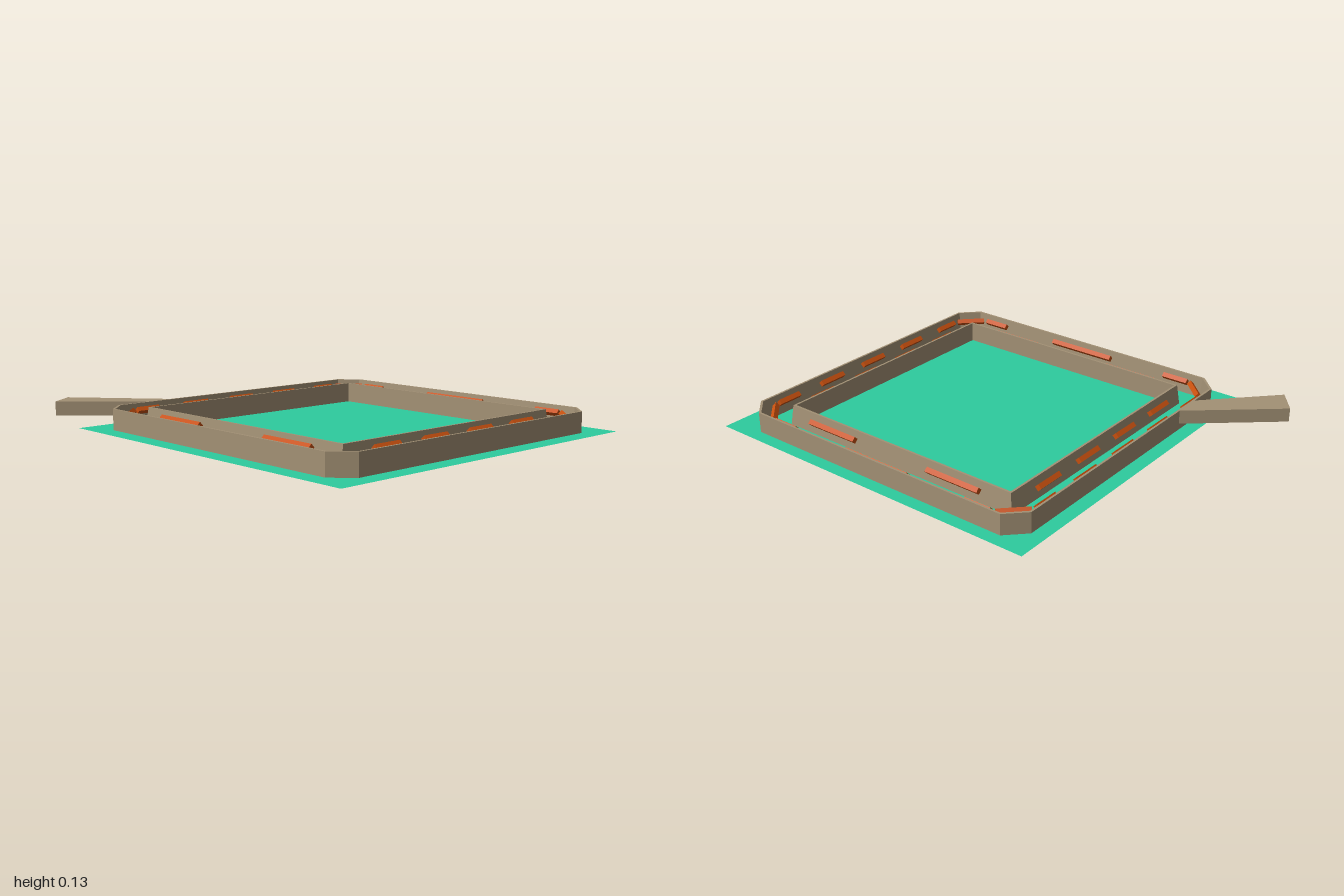
import * as THREE from 'three';

const stone = new THREE.MeshStandardMaterial({ color: 0xa39175, flatShading: true });
stone.name = 'tan';
const green = new THREE.MeshStandardMaterial({ color: 0x2ecc9e, side: THREE.DoubleSide });
green.name = 'green';
const orange = new THREE.MeshStandardMaterial({ color: 0xc8500f, flatShading: true });
orange.name = 'orange';

// Square loop of half width h with corners cut by c, as eight [x, z] points
function loop(h, c) {
  const k = h - c;
  return [[h, -k], [h, k], [k, h], [-k, h], [-h, k], [-h, -k], [-k, -h], [k, -h]];
}

// Closed cross-section of [half width, corner cut, y] swept round the square
function ringGeometry(profile) {
  const rows = profile.map(([h, c, y]) => loop(h, c).map(([x, z]) => new THREE.Vector3(x, y, z)));
  const pos = [];
  const tri = (a, b, c) => {
    if (new THREE.Triangle(a, b, c).getArea() < 1e-8) return;
    for (const p of [a, b, c]) pos.push(p.x, p.y, p.z);
  };
  rows.forEach((row, i) => {
    const up = rows[(i + 1) % rows.length];
    for (let j = 0; j < 8; j++) {
      const n = (j + 1) % 8;
      tri(row[j], up[j], up[n]);
      tri(row[j], up[n], row[n]);
    }
  });
  const g = new THREE.BufferGeometry();
  g.setAttribute('position', new THREE.Float32BufferAttribute(pos, 3));
  g.computeVertexNormals();
  return g;
}

export function createModel() {
  const model = new THREE.Group();
  const add = (parent, name, geo, mat, x = 0, y = 0, z = 0) => {
    const m = new THREE.Mesh(geo, mat);
    m.name = name;
    m.position.set(x, y, z);
    parent.add(m);
    return m;
  };

  // Thin sheet the trough is sunk into
  const sheet = new THREE.PlaneGeometry(1.69, 1.685).rotateX(-Math.PI / 2);
  add(model, 'groundSheet', sheet, green, 0.155, 0.035, -0.002);

  const track = new THREE.Group();
  track.name = 'track';
  track.position.set(0.147, 0, -0.013);
  model.add(track);

  // Trough: outer wall with cut corners, floor and square inner wall
  add(track, 'trough', ringGeometry([
    [0.735, 0.065, 0], [0.77, 0.085, 0.033], [0.77, 0.085, 0.13], [0.76, 0.08, 0.13],
    [0.748, 0.073, 0.02], [0.636, 0, 0.02], [0.623, 0, 0.13], [0.613, 0, 0.13],
    [0.613, 0, 0.033], [0.645, 0, 0],
  ]), stone);

  // Ridged bars along both walls of the trough
  const bar = (x, z, length, angle) => {
    const g = new THREE.CylinderGeometry(0.016, 0.016, length, 4).rotateZ(Math.PI / 2);
    add(track, 'wallBar', g, orange, x, 0.1, z).rotation.y = angle;
  };
  const outer = 0.737, inner = 0.651, quarter = Math.PI / 2;
  for (const s of [-1, 1]) {
    // front and back
    for (const [x, l] of [[-0.547, 0.13], [0, 0.35], [0.547, 0.13]]) bar(x, s * outer, l, 0);
    for (const x of [-0.345, 0.345]) bar(x, s * inner, 0.275, 0);
    // sides
    for (const [z, l] of [[-0.548, 0.12], [-0.276, 0.14], [0, 0.14], [0.276, 0.14], [0.548, 0.12]]) {
      bar(s * outer, z, l, quarter);
    }
    for (const z of [-0.415, -0.138, 0.138, 0.415]) bar(s * inner, z, 0.14, quarter);
    // cut corners
    for (const t of [-1, 1]) bar(s * 0.682, t * 0.682, 0.14, s * t * Math.PI / 4);
  }

  // Tapered entry ramp at the front right
  const outline = [[-1, 0.71], [-0.915, 0.825], [-0.615, 0.51], [-0.615, 0.38]];
  const shape = new THREE.Shape(outline.map(([x, z]) => new THREE.Vector2(x, z)));
  const ramp = new THREE.ExtrudeGeometry(shape, { depth: 0.065, bevelEnabled: false }).rotateX(Math.PI / 2);
  add(model, 'entryRamp', ramp, stone, 0, 0.13, 0);

  return model;
}
